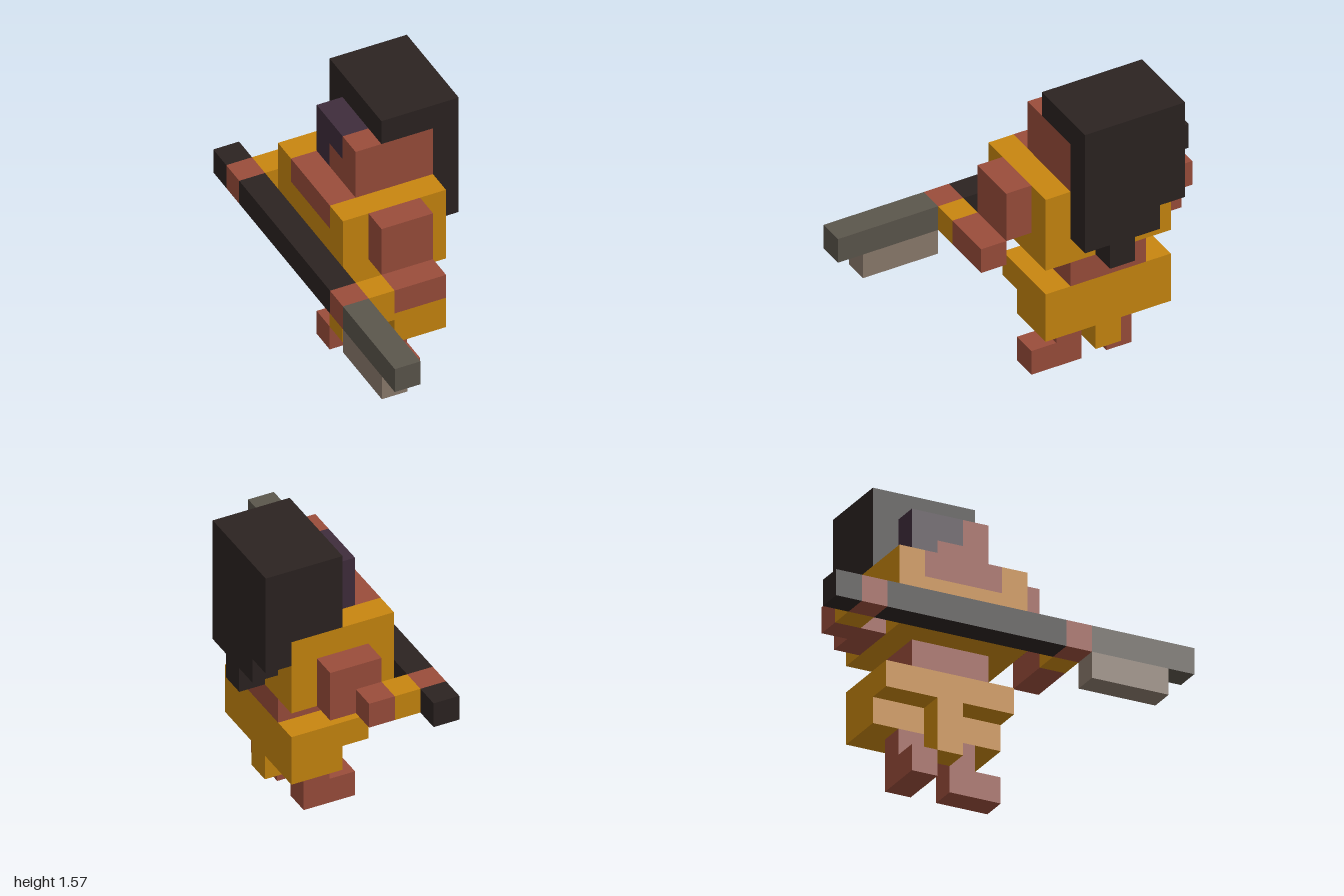
import * as THREE from 'three';

// one block of the grid
const U = 1 / 7;

export function createModel() {
  const model = new THREE.Group();
  model.name = 'blockWarrior';

  const mat = (name, color) => {
    const m = new THREE.MeshStandardMaterial({ color });
    m.name = name;
    return m;
  };
  const skin = mat('skin', 0x9a4d3b);
  const robe = mat('robe', 0xc8860f);
  const hair = mat('hair', 0x2b2321);
  const patch = mat('patch', 0x3f2d3c);
  const steel = mat('steel', 0x5b564c);
  const edge = mat('edge', 0x8c7b6d);

  // each box is [x0, x1, y0, y1, z0, z1] in blocks
  const part = (name, ...pieces) => {
    const group = new THREE.Group();
    group.name = name;
    for (const [material, ...boxes] of pieces) {
      for (const [x0, x1, y0, y1, z0, z1] of boxes) {
        const geo = new THREE.BoxGeometry((x1 - x0) * U, (y1 - y0) * U, (z1 - z0) * U);
        const mesh = new THREE.Mesh(geo, material);
        mesh.position.set((x0 + x1) * U / 2, (y0 + y1) * U / 2, (z0 + z1) * U / 2);
        mesh.name = name + '_' + material.name;
        group.add(mesh);
      }
    }
    model.add(group);
  };

  // legs with feet pointing different ways
  part('frontLeg', [skin, [0, 1, 0, 2, -1, 0], [0, 1, 0, 1, 0, 1]]);
  part('backLeg', [skin, [0, 1, 0, 2, -3, -2], [-1, 0, 0, 1, -3, -2]]);

  // skirt with a hanging cloth on both sides
  part('skirt', [robe, [0, 2, 2, 4, -4, 1], [-1, 0, 3, 4, -4, 1]]);
  part('cloth', [robe, [-1, 0, 1, 3, -2, -1], [1, 2, 1, 2, -2, -1]]);

  // waist, open robe and bare chest
  part('waist', [skin, [-1, 2, 4, 5, -3, 0]]);
  part('torso',
    [robe, [-2, 2, 5, 8, 0, 1], [-2, 2, 5, 8, -4, -3], [-2, -1, 5, 7, -3, 0], [1, 2, 5, 8, -3, 0]],
    [skin, [-2, -1, 7, 8, -3, 0], [-1, 1, 5, 8, -3, 0]]);

  // head with a dark patch over one side of the face
  part('head',
    [skin, [0, 2, 8, 10, -3, 0], [-1, 0, 8, 10, -1, 0], [-1, 0, 8, 9, -2, -1]],
    [patch, [-1, 0, 8, 10, -3, -2], [-1, 0, 9, 10, -2, -1]]);

  // crown, back, side and loose locks
  part('hair', [hair,
    [0, 3, 10, 11, -4, 0], [2, 3, 6, 10, -3, 0], [0, 3, 8, 10, -4, -3],
    [2, 3, 7, 8, -4, -3], [2, 3, 5, 6, -2, -1]]);

  // arms: shoulder, forearm, cuff, hand
  part('frontArm',
    [skin, [-1, 1, 6, 8, 1, 2], [-1, 1, 5, 6, 2, 3], [-3, -2, 5, 6, 2, 3]],
    [robe, [-2, -1, 5, 6, 2, 3]]);
  part('backArm',
    [skin, [-1, 1, 5, 7, -5, -4], [-1, 0, 5, 6, -6, -5], [-3, -2, 5, 6, -6, -5]],
    [robe, [-2, -1, 5, 6, -6, -5]]);

  // long weapon held across the body
  part('weapon',
    [hair, [-3, -2, 5, 6, -7, -6], [-3, -2, 5, 6, -5, 2]],
    [steel, [-3, -2, 5, 6, 3, 7]],
    [edge, [-3, -2, 4, 5, 3, 6]]);

  return model;
}
